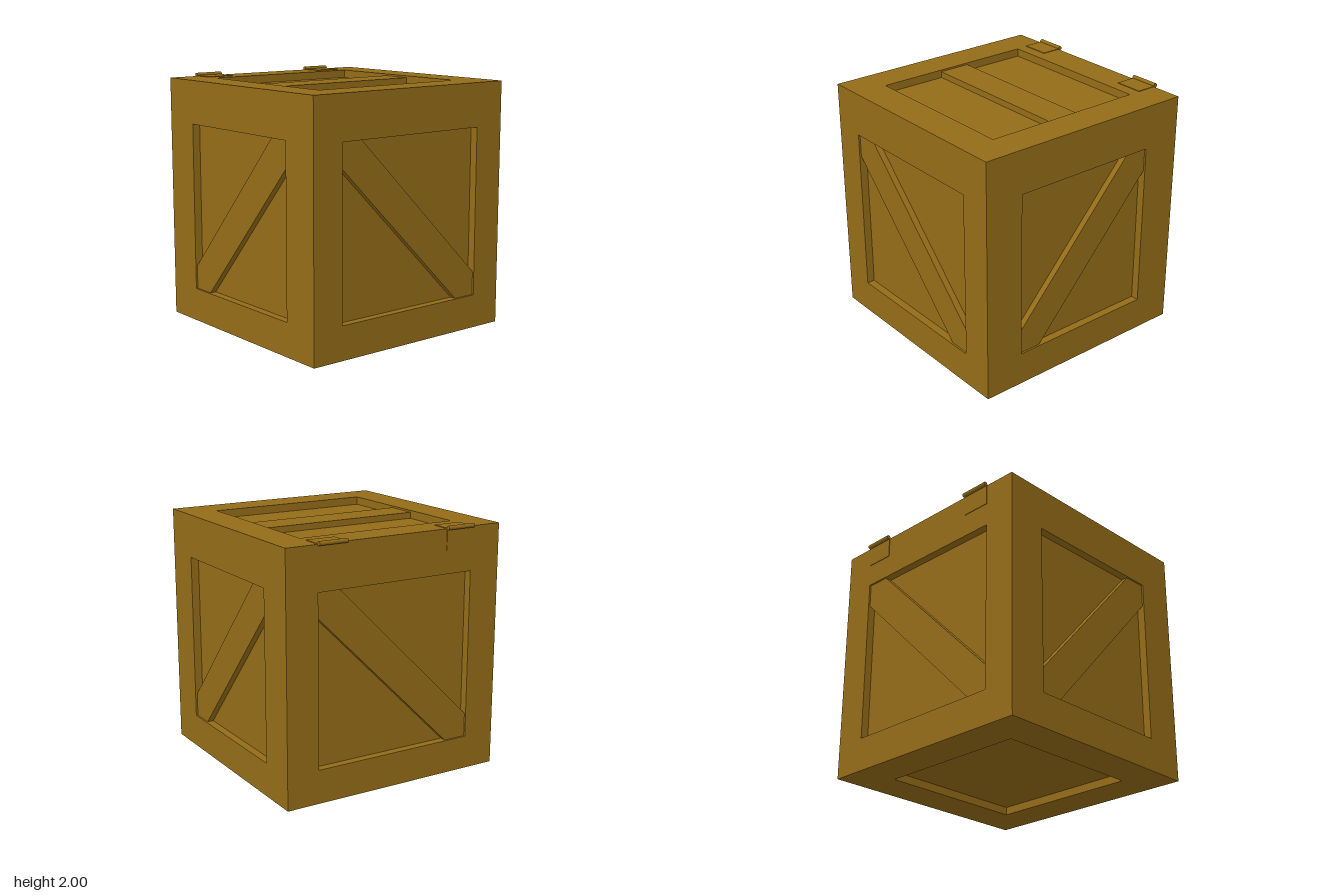
import * as THREE from 'three';

const W = 1.89, H = 1.975, T = 0.065, ZC = 0.02; // crate width, height, frame depth, z centre
const RECESS = 0.015; // braces sit slightly below the frame

export function createModel() {
  const crate = new THREE.Group();
  crate.name = 'crate';
  const wood = new THREE.MeshStandardMaterial({ color: 0x946c18, flatShading: true });
  const metal = new THREE.MeshStandardMaterial({ color: 0x946c18 });

  const add = (parent, geometry, name, x = 0, y = 0, z = 0, material = wood) => {
    const mesh = new THREE.Mesh(geometry, material);
    mesh.name = name;
    mesh.position.set(x, y, z);
    parent.add(mesh);
    return mesh;
  };
  const rect = (w, h, cy = 0) => [[-w / 2, cy - h / 2], [w / 2, cy - h / 2], [w / 2, cy + h / 2], [-w / 2, cy + h / 2]];
  const toPoints = (list) => list.map(([x, y]) => new THREE.Vector2(x, y));
  const extrude = (shape, depth) => new THREE.ExtrudeGeometry(shape, { depth, bevelEnabled: false });

  // One side of the crate: a frame with a window and an optional brace; local +z points outward
  function side(name, w, h, holeW, holeH, holeY, brace) {
    const group = new THREE.Group();
    group.name = name;
    const frame = new THREE.Shape(toPoints(rect(w, h)));
    frame.holes.push(new THREE.Path(toPoints(rect(holeW, holeH, holeY).reverse())));
    add(group, extrude(frame, T), name + 'Frame', 0, 0, -T);
    if (brace) add(group, extrude(new THREE.Shape(toPoints(brace)), T - RECESS), name + 'Brace', 0, holeY, -T);
    crate.add(group);
    return group;
  }

  // Diagonal brace outline; dir = 1 rises to the right, -1 falls to the right
  function diagonal(w, h, dir) {
    const x = w / 2, y = h / 2, c = 0.19;
    const pts = [[-x, -y], [c - x, -y], [x, y - c], [x, y], [x - c, y], [-x, c - y]];
    return dir > 0 ? pts : pts.map(([px, py]) => [-px, py]).reverse();
  }

  // Recessed panels: the faces of one inner box
  add(crate, new THREE.BoxGeometry(W - 2 * T, H - 2 * T, W - 2 * T), 'panels', 0, H / 2, ZC);

  // Four upright sides
  const holeH = 1.355, holeY = -0.04;
  ['front', 'left', 'back', 'right'].forEach((name, i) => {
    const flank = i % 2 === 1;
    const holeW = flank ? 1.24 : 1.36;
    const g = side(name, flank ? W - 2 * T : W, H, holeW, holeH, holeY, diagonal(holeW, holeH, flank ? 1 : -1));
    const a = i * Math.PI / 2;
    g.rotation.y = a;
    g.position.set(Math.sin(a) * W / 2, H / 2, ZC + Math.cos(a) * W / 2);
  });

  // Lid with a crosswise plank, and the base
  const inner = W - 2 * T;
  const lid = side('lid', inner, inner, 1.355, 1.355, 0.008, rect(1.355, 0.265));
  lid.rotation.x = -Math.PI / 2;
  lid.position.set(0, H, ZC);
  const base = side('base', inner, inner, 1.26, 1.26, 0);
  base.rotation.x = Math.PI / 2;
  base.position.set(0, 0, ZC);

  // Two hinges on the back top edge
  for (const s of [-1, 1]) {
    const hinge = new THREE.Group();
    hinge.name = s > 0 ? 'leftHinge' : 'rightHinge';
    hinge.position.set(s * 0.565, 0, 0);
    const pin = new THREE.CylinderGeometry(0.017, 0.017, 0.24, 16).rotateZ(Math.PI / 2);
    add(hinge, pin, 'hingePin', 0, 1.983, -0.941, metal);
    add(hinge, new THREE.BoxGeometry(0.235, 0.008, 0.175), 'hingeTopPlate', 0, 1.976, -0.85, metal);
    add(hinge, new THREE.BoxGeometry(0.235, 0.17, 0.008), 'hingeBackPlate', 0, 1.895, -0.926, metal);
    crate.add(hinge);
  }
  return crate;
}
